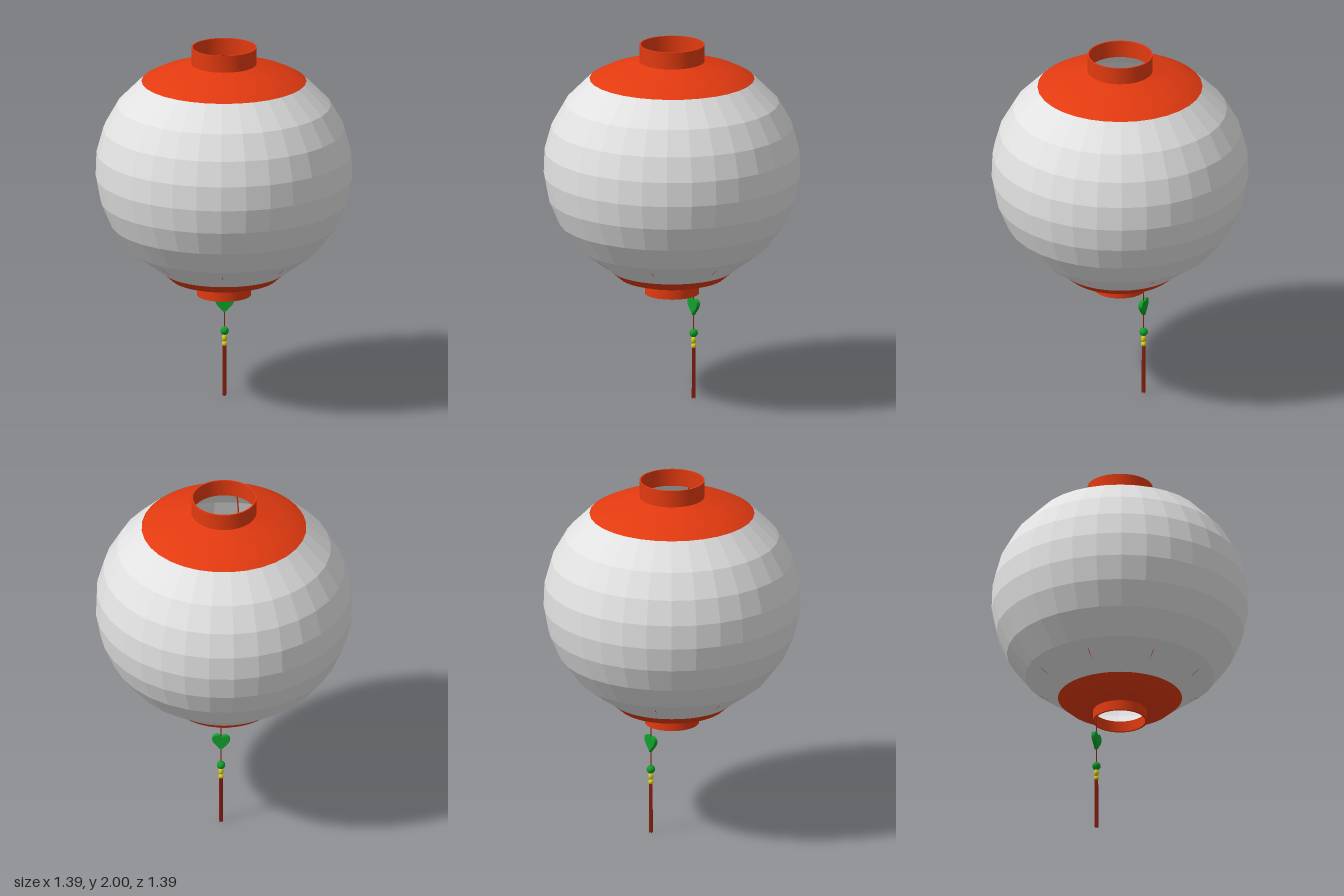
import * as THREE from 'three';
import { toCreasedNormals } from 'three/addons/utils/BufferGeometryUtils.js';

export function createModel() {
  const model = new THREE.Group();
  model.name = 'paperLantern';

  const material = (name, color, side = THREE.FrontSide) => {
    const m = new THREE.MeshStandardMaterial({ color, side });
    m.name = name;
    return m;
  };
  const paper = material('white paper', 0xe2e2e2, THREE.DoubleSide);
  const red = material('lantern red', 0xe23a10, THREE.DoubleSide);
  const darkRed = material('tassel red', 0x8c2010);
  const green = material('jade green', 0x10a02a);
  const yellow = material('bead yellow', 0xd8cc18);

  const add = (parent, name, geometry, mat, x = 0, y = 0, z = 0) => {
    const mesh = new THREE.Mesh(geometry, mat);
    mesh.name = name;
    mesh.position.set(x, y, z);
    parent.add(mesh);
    return mesh;
  };
  const lathe = (points, segments) =>
    new THREE.LatheGeometry(points.map(([r, y]) => new THREE.Vector2(r, y)), segments);

  // Faceted paper shade: squashed sphere cut into equal bands
  const bottom = 0.745, top = 1.81, middle = 1.325, bands = 8;
  const radiusAt = (y) => 0.695 * Math.sqrt(1 - ((y - middle) / (y > middle ? 0.632 : 0.66)) ** 2);
  const profile = [];
  for (let i = 0; i <= bands; i++) {
    const y = bottom + ((top - bottom) * i) / bands;
    profile.push([radiusAt(y), y]);
  }
  const shade = lathe(profile, 32).toNonIndexed();
  shade.computeVertexNormals();
  add(model, 'shade', shade, paper);

  // Eight thin ribs inside the shade
  const ribs = new THREE.Group();
  ribs.name = 'ribs';
  model.add(ribs);
  const ribPath = new THREE.CatmullRomCurve3(
    profile.map(([r, y]) => new THREE.Vector3(0, y, r - 0.012)));
  const ribGeometry = new THREE.TubeGeometry(ribPath, 24, 0.004, 5);
  for (let i = 0; i < 8; i++) {
    add(ribs, 'rib', ribGeometry, red).rotation.y = (i * Math.PI) / 4;
  }

  // Red caps and their open collars
  const crease = (geometry) => toCreasedNormals(geometry, 0.7);
  add(model, 'topCap', crease(lathe(
    [[0.445, 1.808], [0.415, 1.825], [0.37, 1.847], [0.27, 1.88], [0.175, 1.907]], 64)), red);
  add(model, 'topCollar', crease(lathe(
    [[0.168, 1.905], [0.176, 1.905], [0.176, 2], [0.168, 2], [0.168, 1.905]], 64)), red);
  add(model, 'bottomCap', crease(lathe(
    [[0.147, 0.666], [0.22, 0.683], [0.285, 0.703], [0.335, 0.747]], 64)), red);
  add(model, 'bottomCollar', crease(lathe(
    [[0.136, 0.67], [0.136, 0.61], [0.147, 0.61], [0.147, 0.67], [0.136, 0.67]], 64)), red);

  // Hanging charm at the back of the lower collar
  const charm = new THREE.Group();
  charm.name = 'charm';
  charm.position.z = -0.137;
  model.add(charm);
  add(charm, 'cord', new THREE.CylinderGeometry(0.003, 0.003, 0.4, 6), darkRed, 0, 0.47);

  // Heart pendant
  const heart = new THREE.Shape();
  heart.moveTo(0, -0.047);
  heart.bezierCurveTo(0.012, -0.027, 0.047, -0.006, 0.047, 0.018);
  heart.bezierCurveTo(0.047, 0.046, 0.008, 0.05, 0, 0.028);
  heart.bezierCurveTo(-0.008, 0.05, -0.047, 0.046, -0.047, 0.018);
  heart.bezierCurveTo(-0.047, -0.006, -0.012, -0.027, 0, -0.047);
  const heartGeometry = new THREE.ExtrudeGeometry(heart, {
    depth: 0.014, bevelThickness: 0.004, bevelSize: 0.002, bevelSegments: 2, curveSegments: 10,
  });
  add(charm, 'heart', heartGeometry, green, 0, 0.515, -0.007);

  // Beads
  add(charm, 'roundBead', new THREE.SphereGeometry(0.023, 20, 14), green, 0, 0.365);
  add(charm, 'upperBead', new THREE.SphereGeometry(0.014, 16, 12), yellow, 0, 0.325).scale.y = 1.4;
  add(charm, 'lowerBead', new THREE.SphereGeometry(0.014, 16, 12), yellow, 0, 0.292);

  // Tassel strands
  const strand = new THREE.CylinderGeometry(0.003, 0.0035, 0.28, 6);
  for (let i = 0; i < 8; i++) {
    const a = (i * Math.PI) / 4;
    add(charm, 'tasselStrand', strand, darkRed,
      0.0075 * Math.sin(a), 0.14 + 0.004 * (i % 3), 0.0075 * Math.cos(a));
  }
  add(charm, 'tasselCore', new THREE.CylinderGeometry(0.006, 0.007, 0.27, 8), darkRed, 0, 0.145);

  return model;
}
